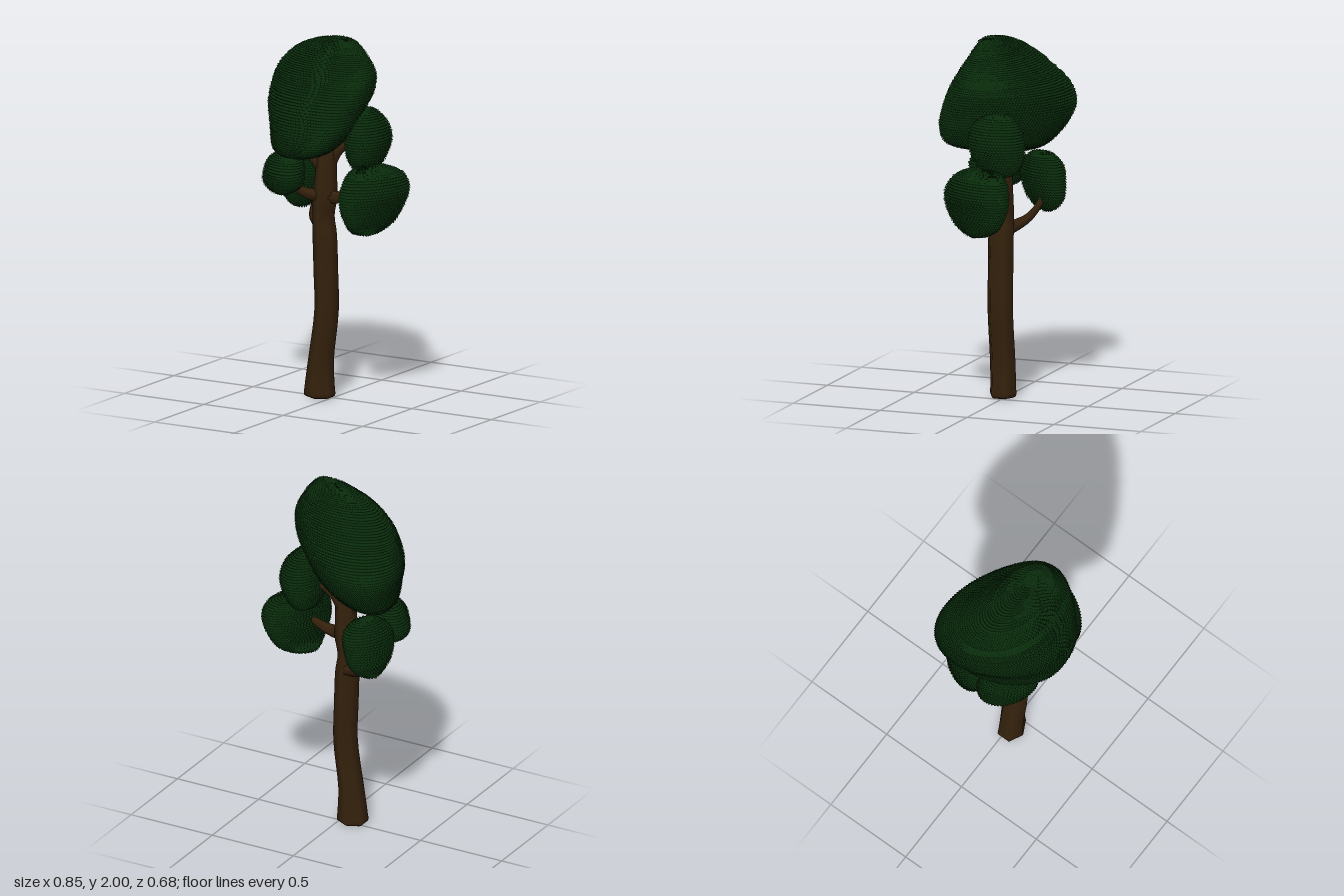
import * as THREE from 'three';
import { mergeVertices } from 'three/addons/utils/BufferGeometryUtils.js';

const bark = new THREE.MeshStandardMaterial({ color: 0x34210c });
const foliage = new THREE.MeshStandardMaterial({ color: 0x092a0b, side: THREE.DoubleSide });

// Smooth surface through rings [y, xMin, xMax, zMin, zMax]; returns point(t, angle).
// shear slides x along z; frontPower below 1 squares off the front half of each ring
function ringSurface(rings, shear = 0, frontPower = 1) {
  const cx = new THREE.CatmullRomCurve3(rings.map(r => new THREE.Vector3(r[0], r[1], r[2])));
  const cz = new THREE.CatmullRomCurve3(rings.map(r => new THREE.Vector3(r[0], r[3], r[4])));
  return (t, a) => {
    const p = cx.getPoint(t), q = cz.getPoint(t);
    const rz = (q.z - q.y) / 2, z = rz * Math.sin(a);
    const rx = Math.sqrt(Math.max(1e-6, ((p.z - p.y) / 2) ** 2 - (shear * rz) ** 2));
    const c = Math.cos(a), across = Math.sign(c) * Math.abs(c) ** (z > 0 ? frontPower : 1);
    return new THREE.Vector3((p.y + p.z) / 2 + rx * across + shear * z, p.x, (q.y + q.z) / 2 + z);
  };
}

function makeGeometry(positions, index) {
  const g = new THREE.BufferGeometry();
  g.setAttribute('position', new THREE.Float32BufferAttribute(positions, 3));
  if (index) g.setIndex(index);
  g.computeVertexNormals();
  return g;
}

// Closed solid from a ring surface, with a corner facing the front
function solid(point, rows, sides) {
  const pos = [], idx = [];
  for (let i = 0; i <= rows; i++)
    for (let j = 0; j < sides; j++) pos.push(...point(i / rows, (j / sides + 0.25) * Math.PI * 2).toArray());
  for (let i = 0; i < rows; i++)
    for (let j = 0; j < sides; j++) {
      const a = i * sides + j, b = i * sides + (j + 1) % sides;
      idx.push(a, a + sides, b, b, a + sides, b + sides);
    }
  for (let j = 1; j < sides - 1; j++) {
    const top = rows * sides;
    idx.push(0, j, j + 1, top, top + j + 1, top + j);
  }
  return makeGeometry(pos, idx);
}

// Rows of small overlapping leaves, tips pointing down and outward
function leaves(point, size) {
  const pos = [], steps = 400;
  let last = null, row = 0;
  for (let s = 1; s < steps; s++) {
    const t = s / steps, e = point(t, 0), w = point(t, Math.PI), f = point(t, Math.PI / 2), b = point(t, -Math.PI / 2);
    const now = [e, w, f, b];
    if (last && Math.max(...now.map((p, i) => p.distanceTo(last[i]))) < size) continue;
    last = now;
    row++;
    const length = Math.PI * (e.distanceTo(w) + f.distanceTo(b)) / 2;
    const count = Math.max(5, Math.round(length / size));
    for (let j = 0; j < count; j++) {
      const a = (j + (row % 2) / 2) / count * Math.PI * 2;
      const p = point(t, a);
      const side = point(t, a + 0.02).sub(point(t, a - 0.02)).normalize();
      const up = point(Math.min(1, t + 0.004), a).sub(point(t - 0.002, a)).normalize();
      const out = up.clone().cross(side).normalize();
      const corner = (u, v, o) => p.clone().addScaledVector(side, u * size).addScaledVector(up, v * size).addScaledVector(out, o * size);
      const top = corner(0, 0.9, -0.25), l = corner(-0.65, 0, 0.15), r = corner(0.65, 0, 0.15), tip = corner(0, -0.7, 0.75);
      for (const v of [top, r, l, l, r, tip]) pos.push(v.x, v.y, v.z);
    }
  }
  return makeGeometry(pos);
}

function clump(name, rings, shear, frontPower) {
  const group = new THREE.Group();
  group.name = name;
  const point = ringSurface(rings, shear, frontPower);
  const core = new THREE.Mesh(solid(point, 30, 40), foliage);
  core.name = name + 'Core';
  const cover = new THREE.Mesh(leaves(point, 0.015), foliage);
  cover.name = name + 'Leaves';
  group.add(core, cover);
  return group;
}

// Tapered limb along a path
function branch(name, points, r0, r1) {
  const curve = new THREE.CatmullRomCurve3(points.map(p => new THREE.Vector3(...p)));
  const rows = 14, sides = 6;
  const g = new THREE.TubeGeometry(curve, rows, 1, sides);
  const pos = g.attributes.position, v = new THREE.Vector3();
  for (let i = 0; i < pos.count; i++) {
    const t = Math.floor(i / (sides + 1)) / rows, c = curve.getPointAt(t);
    const r = r1 + (r0 - r1) * (1 - t) ** 1.5;
    v.fromBufferAttribute(pos, i).sub(c).multiplyScalar(r).add(c);
    pos.setXYZ(i, v.x, v.y, v.z);
  }
  g.deleteAttribute('normal');
  g.deleteAttribute('uv');
  const smooth = mergeVertices(g);
  smooth.computeVertexNormals();
  const mesh = new THREE.Mesh(smooth, bark);
  mesh.name = name;
  return mesh;
}

export function createModel() {
  const tree = new THREE.Group();
  tree.name = 'tree';

  // Trunk: gently bent, six-sided, flared at the foot
  const trunk = new THREE.Mesh(solid(ringSurface([
    [0, -0.14, 0, -0.045, 0.075], [0.012, -0.158, 0.015, -0.058, 0.09], [0.06, -0.154, 0.012, -0.058, 0.09],
    [0.2, -0.132, 0.005, -0.057, 0.089], [0.48, -0.091, 0.035, -0.057, 0.089], [0.7, -0.096, 0.031, -0.057, 0.089],
    [0.9, -0.102, 0.023, -0.057, 0.089], [1.0, -0.103, 0.008, -0.056, 0.086], [1.1, -0.107, 0.028, -0.055, 0.085],
    [1.2, -0.09, 0.025, -0.053, 0.083], [1.32, -0.08, 0.023, -0.045, 0.075], [1.42, -0.055, 0.015, -0.025, 0.05],
  ]), 44, 6), bark);
  trunk.name = 'trunk';
  tree.add(trunk);

  // Branches reaching into the clumps
  tree.add(
    branch('lowBranch', [[-0.03, 0.92, 0], [-0.12, 0.94, -0.05], [-0.175, 0.97, -0.09], [-0.2, 1.04, -0.14], [-0.25, 1.12, -0.15]], 0.045, 0.016),
    branch('frontBranch', [[-0.03, 1.11, 0.02], [-0.11, 1.12, 0.06], [-0.17, 1.15, 0.09], [-0.23, 1.2, 0.12]], 0.045, 0.018),
    branch('leftBranch', [[-0.03, 1.11, 0.02], [0.05, 1.11, 0.02], [0.12, 1.125, 0.02], [0.22, 1.17, 0.02]], 0.045, 0.018),
    branch('leftFork', [[-0.03, 1.28, 0], [0.01, 1.35, -0.02], [0.08, 1.41, -0.05], [0.17, 1.45, -0.07]], 0.045, 0.018),
    branch('rightFork', [[-0.04, 1.25, 0.02], [-0.08, 1.3, 0.03], [-0.13, 1.34, 0.04], [-0.17, 1.42, 0.05]], 0.04, 0.018),
    branch('topBranch', [[-0.03, 1.28, 0.01], [-0.02, 1.38, 0.01], [0.0, 1.52, 0.01]], 0.048, 0.02),
  );

  // Large crown, skewed, with a broad front
  tree.add(clump('crown', [
    [1.335, -0.24, -0.12, -0.04, 0.1], [1.35, -0.31, -0.05, -0.12, 0.22], [1.4, -0.35, 0.08, -0.2, 0.315],
    [1.5, -0.385, 0.165, -0.285, 0.325], [1.6, -0.415, 0.205, -0.325, 0.3], [1.7, -0.4, 0.25, -0.305, 0.255],
    [1.8, -0.345, 0.265, -0.22, 0.195], [1.9, -0.235, 0.22, -0.12, 0.13], [1.96, -0.1, 0.175, -0.05, 0.09],
    [1.985, 0.01, 0.14, -0.005, 0.07], [1.992, 0.05, 0.1, 0.02, 0.05],
  ], 0.37, 0.75));

  // Smaller clumps around the trunk
  tree.add(clump('leftLowClump', [
    [0.942, 0.2, 0.27, 0.03, 0.08], [0.955, 0.18, 0.3, -0.03, 0.12], [1.0, 0.175, 0.345, -0.1, 0.175],
    [1.1, 0.158, 0.39, -0.155, 0.225], [1.18, 0.153, 0.415, -0.165, 0.225], [1.25, 0.162, 0.39, -0.15, 0.185],
    [1.295, 0.185, 0.3, -0.08, 0.1], [1.308, 0.21, 0.26, -0.02, 0.04],
  ], -0.3));
  tree.add(clump('leftHighClump', [
    [1.265, 0.15, 0.2, -0.1, -0.03], [1.285, 0.115, 0.235, -0.15, 0.03], [1.35, 0.09, 0.275, -0.19, 0.08],
    [1.44, 0.085, 0.305, -0.2, 0.1], [1.52, 0.095, 0.285, -0.18, 0.09], [1.58, 0.12, 0.23, -0.13, 0.04],
    [1.6, 0.15, 0.2, -0.08, -0.01],
  ]));
  tree.add(clump('rightFrontClump', [
    [1.12, -0.28, -0.22, 0.07, 0.13], [1.135, -0.33, -0.18, 0.02, 0.18], [1.18, -0.375, -0.12, -0.01, 0.22],
    [1.25, -0.365, -0.105, -0.02, 0.245], [1.3, -0.34, -0.12, 0, 0.21], [1.34, -0.27, -0.17, 0.06, 0.14],
  ], 0.4));
  tree.add(clump('rightBackClump', [
    [1.0, -0.31, -0.26, -0.18, -0.12], [1.02, -0.325, -0.23, -0.22, -0.08], [1.08, -0.35, -0.19, -0.265, -0.03],
    [1.17, -0.36, -0.16, -0.275, -0.005], [1.25, -0.345, -0.155, -0.27, -0.015], [1.3, -0.31, -0.18, -0.22, -0.06],
    [1.32, -0.27, -0.23, -0.17, -0.11],
  ], -0.3));
  return tree;
}
